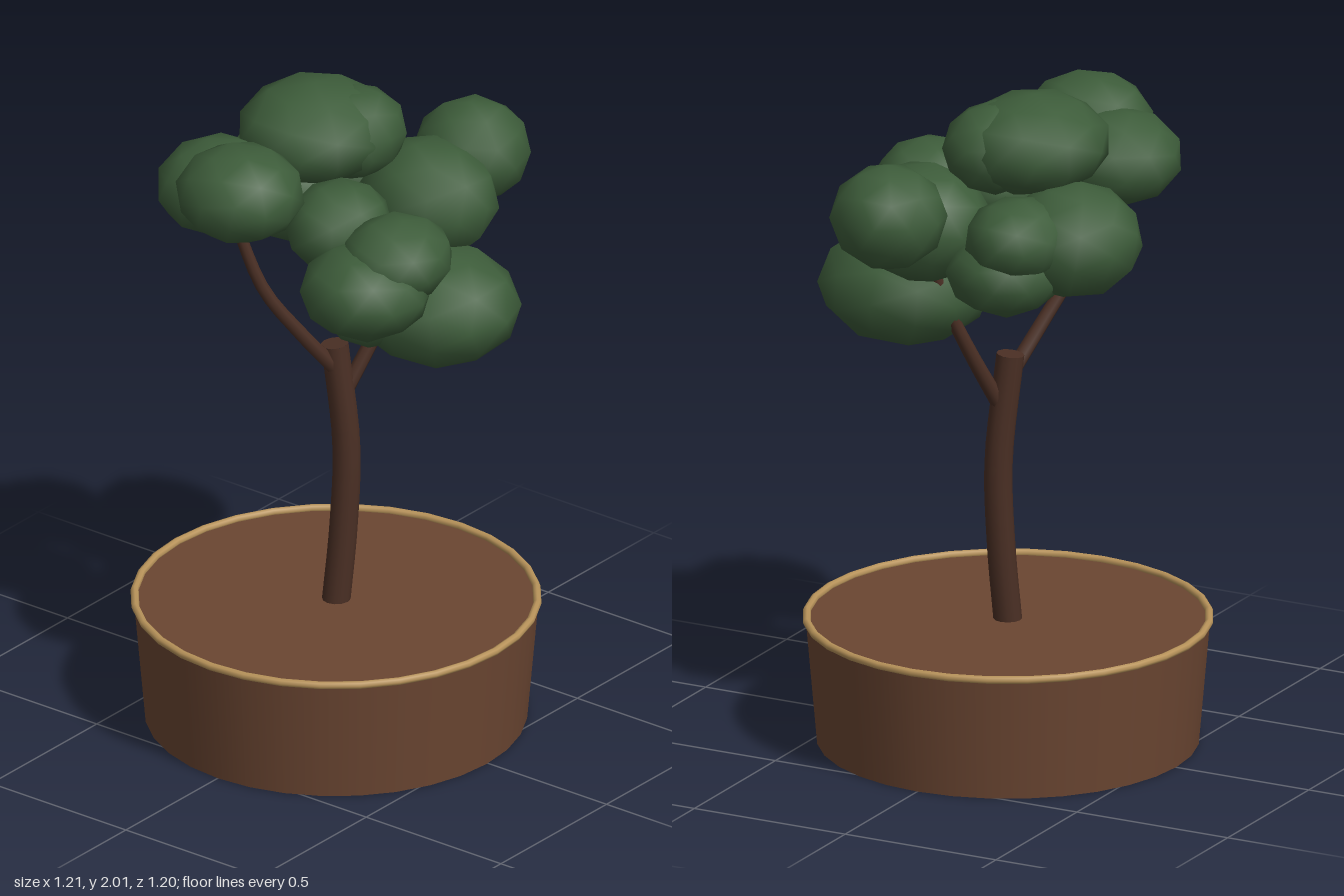
import * as THREE from 'three';

const V = (p) => new THREE.Vector3(...p);

export function createModel() {
  const model = new THREE.Group();
  const mat = (color) => new THREE.MeshStandardMaterial({ color });
  const potMat = mat(0x6b4632), rimMat = mat(0xb8935a), barkMat = mat(0x4a2f24), leafMat = mat(0x3d5c3a);

  const add = (name, geometry, material, x = 0, y = 0, z = 0) => {
    const mesh = new THREE.Mesh(geometry, material);
    mesh.name = name;
    mesh.position.set(x, y, z);
    model.add(mesh);
    return mesh;
  };

  // Tapered pot, soil surface and thin rim
  add('pot', new THREE.CylinderGeometry(0.592, 0.56, 0.365, 32), potMat, -0.005, 0.1825);
  add('soil', new THREE.CircleGeometry(0.585, 32).rotateX(-Math.PI / 2), potMat, -0.005, 0.37);
  add('rim', new THREE.TorusGeometry(0.59, 0.012, 8, 32).rotateX(Math.PI / 2), rimMat, -0.005, 0.375);

  // Curved limb whose radius shrinks from r0 to r1, closed at the tip
  const limb = (name, points, r0, r1, sides) => {
    const steps = 12;
    const curve = new THREE.CatmullRomCurve3(points.map(V));
    const geo = new THREE.TubeGeometry(curve, steps, 1, sides, false);
    const pos = geo.attributes.position, v = new THREE.Vector3();
    for (let i = 0; i < pos.count; i++) {
      const t = Math.floor(i / (sides + 1)) / steps;
      const c = curve.getPointAt(t);
      v.fromBufferAttribute(pos, i).sub(c).multiplyScalar(r0 + (r1 - r0) * t).add(c);
      pos.setXYZ(i, v.x, v.y, v.z);
    }
    add(name, geo, barkMat);
    const tip = add(name + 'Tip', new THREE.CircleGeometry(r1, sides), barkMat, ...points.at(-1));
    tip.quaternion.setFromUnitVectors(V([0, 0, 1]), curve.getTangentAt(1));
  };
  limb('trunk', [[-0.005, 0.36, 0], [0.015, 0.6, 0.012], [0.025, 0.86, 0.015], [0.008, 1.19, -0.015]], 0.042, 0.041, 12);
  limb('leftBranch', [[0.02, 1.02, 0.005], [0.12, 1.21, 0.055], [0.19, 1.38, 0.1], [0.24, 1.6, 0.15]], 0.024, 0.016, 8);
  limb('rightBranch', [[0.01, 1.1, 0], [-0.1, 1.25, -0.055], [-0.2, 1.42, -0.12], [-0.26, 1.7, -0.2]], 0.024, 0.016, 8);

  // Leaf clumps: centre, then radii
  const clumps = [
    [0.02, 1.86, -0.1, 0.235, 0.145, 0.22],
    [0.09, 1.85, -0.01, 0.165, 0.135, 0.15],
    [-0.37, 1.81, -0.07, 0.185, 0.14, 0.19],
    [-0.27, 1.75, -0.22, 0.19, 0.14, 0.19],
    [0.435, 1.71, 0.16, 0.17, 0.155, 0.17],
    [0.23, 1.635, 0.16, 0.195, 0.175, 0.21],
    [0.09, 1.385, 0.29, 0.235, 0.175, 0.26],
    [-0.04, 1.4, 0.17, 0.17, 0.125, 0.15],
    [-0.235, 1.55, 0.29, 0.19, 0.14, 0.19],
    [-0.14, 1.63, 0.33, 0.175, 0.125, 0.16],
    [-0.12, 1.66, 0.1, 0.165, 0.13, 0.15],
    [0.1, 1.61, -0.27, 0.2, 0.17, 0.205],
    [0.25, 1.64, -0.17, 0.16, 0.12, 0.155],
    [0.24, 1.53, -0.12, 0.17, 0.13, 0.17],
  ];
  clumps.forEach(([x, y, z, rx, ry, rz], i) => {
    const geo = new THREE.IcosahedronGeometry(1.02, 1);
    geo.rotateX(i * 1.3).rotateY(i * 2.1).scale(rx, ry, rz);
    add('leafClump' + (i + 1), geo, leafMat, x, y, z);
  });

  return model;
}
